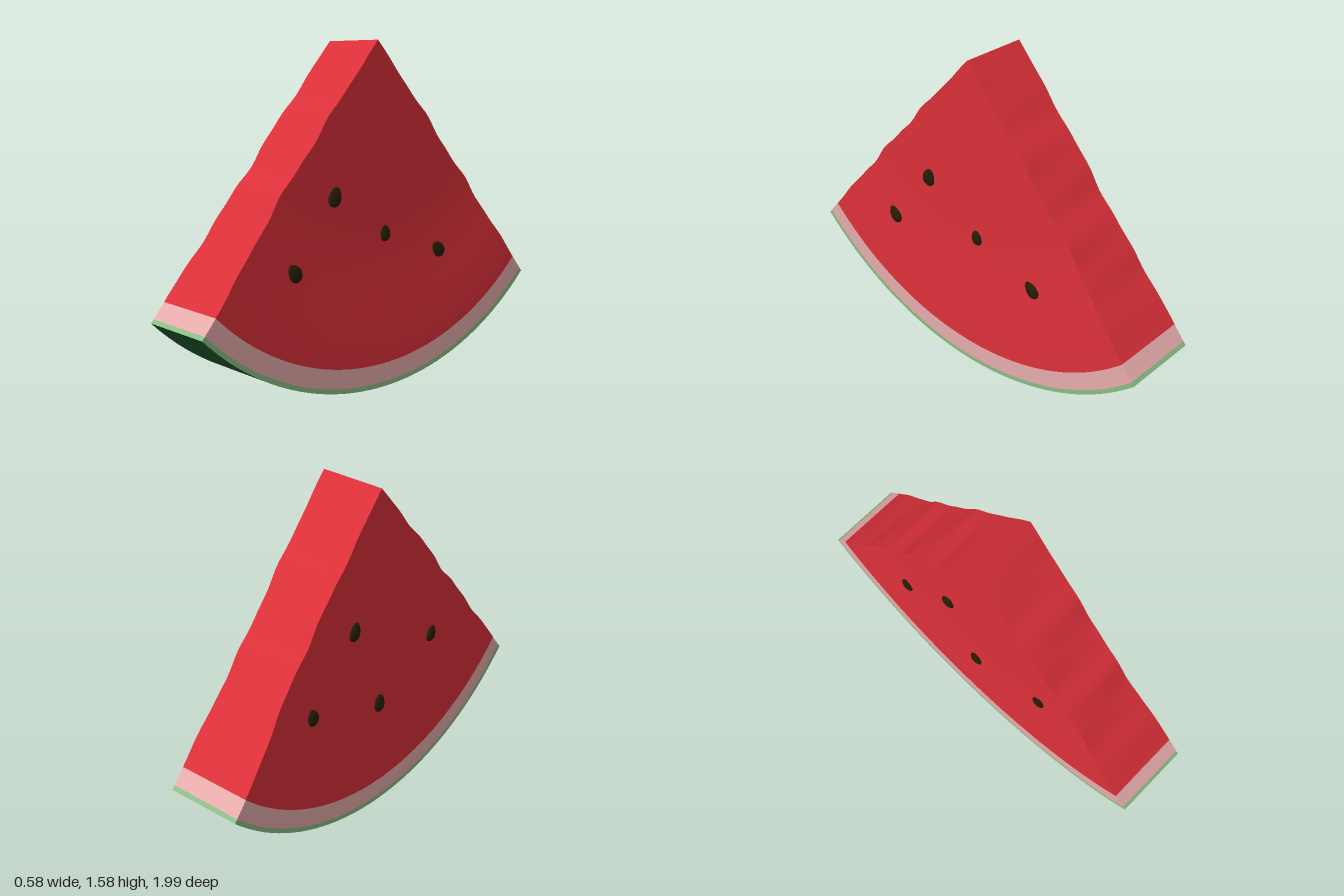
import * as THREE from 'three';
import { mergeGeometries } from 'three/addons/utils/BufferGeometryUtils.js';

const TIP_Y = 1.575, ARC_R = 1.397, ARC_HALF = Math.asin(0.983 / ARC_R);

// Half thickness of the slice: thinner in the flesh, full at the rind
const halfWidth = (s) => 0.161 + 0.026 * THREE.MathUtils.smoothstep(s, 0.55, 0.95);

// Uneven bite of the cut faces, fading out at the tip and the rind
function ripple(s, side, x) {
  const fade = Math.sin(Math.PI * Math.min(s / 0.95, 1));
  const phase = side > 0 ? 1.1 : 0.2;
  return fade * (0.012 + 0.006 * Math.sin(23 * s + phase + 5 * x) + 0.003 * Math.sin(47 * s - 3 * x + phase));
}

// s: 0 at the tip to 1 at the skin, t: 0 back to 1 front, u: -1 to 1 across
function point(s, t, u) {
  const x = u * halfWidth(s);
  const a = (2 * t - 1) * ARC_HALF;
  const side = Math.sign(2 * t - 1);
  const off = ripple(s, side, x) * Math.abs(2 * t - 1) ** 8;
  const tip = TIP_Y + 0.006 * u;
  const y = THREE.MathUtils.lerp(tip, ARC_R * (1 - Math.cos(a)), s);
  return [x, y + off * 0.64, s * ARC_R * Math.sin(a) + off * 0.77 * side];
}

// A plane whose vertices are moved onto a surface
function sheet(nu, nv, f) {
  const g = new THREE.PlaneGeometry(1, 1, nu, nv);
  const { position, uv } = g.attributes;
  for (let i = 0; i < position.count; i++) position.setXYZ(i, ...f(uv.getX(i), uv.getY(i)));
  g.computeVertexNormals();
  return g;
}

// One layer of the slice: two broad faces and two cut ends
function layer(s0, s1, n) {
  const s = (v) => THREE.MathUtils.lerp(s0, s1, v);
  return mergeGeometries([
    sheet(40, n, (u, v) => point(s(v), u, 1)),
    sheet(40, n, (u, v) => point(s(v), 1 - u, -1)),
    sheet(6, n, (u, v) => point(s(1 - v), 1, 2 * u - 1)),
    sheet(6, n, (u, v) => point(s(1 - v), 0, 1 - 2 * u)),
  ]);
}

export function createModel() {
  const colour = (name, hex) => {
    const m = new THREE.MeshStandardMaterial({ color: hex });
    m.name = name;
    return m;
  };
  const red = colour('flesh red', 0xdb3039);
  const pink = colour('pale pink', 0xecb0b0);
  const lightGreen = colour('light green', 0x8cbd85);
  const darkGreen = colour('dark green', 0x1f5a2f);
  const black = colour('seed brown', 0x241d05);

  const slice = new THREE.Group();
  slice.name = 'melonSlice';
  const add = (name, geometry, material) => {
    const mesh = new THREE.Mesh(geometry, material);
    mesh.name = name;
    slice.add(mesh);
    return mesh;
  };

  add('flesh', layer(0, 0.93, 44), red);
  add('innerRind', layer(0.93, 0.986, 2), pink);
  add('outerRind', layer(0.986, 1, 1), lightGreen);
  add('skin', sheet(6, 40, (u, v) => point(1, v, 2 * u - 1)), darkGreen);

  // Teardrop seed, narrowing towards its top
  const seedShape = new THREE.SphereGeometry(1, 14, 10);
  const p = seedShape.attributes.position;
  for (let i = 0; i < p.count; i++) {
    const taper = 1 - 0.2 * p.getY(i);
    p.setXYZ(i, p.getX(i) * 0.015 * taper, p.getY(i) * 0.046, p.getZ(i) * 0.035 * taper);
  }
  seedShape.computeVertexNormals();

  // Seeds: side, z, y, tilt, size
  const seeds = [
    [1, 0.255, 0.908, -0.25, 1], [1, 0.49, 0.605, 0.6, 0.98],
    [1, -0.047, 0.712, 0.1, 0.82], [1, -0.388, 0.595, 0.8, 0.95],
    [-1, -0.47, 0.66, -0.2, 0.92], [-1, -0.18, 0.957, 0.25, 0.98],
    [-1, -0.01, 0.52, 0, 0.98], [-1, 0.39, 0.72, 0.3, 0.9],
  ];
  for (const [side, z, y, tilt, size] of seeds) {
    const s = Math.hypot(z, TIP_Y - y) / 1.55;
    const seed = add('seed', seedShape, black);
    seed.position.set(side * (halfWidth(s) + 0.002), y, z);
    seed.rotation.x = tilt;
    seed.scale.setScalar(size);
  }

  // The slice stands slightly turned
  slice.rotation.y = 0.107;
  const model = new THREE.Group();
  model.name = 'model';
  model.add(slice);
  return model;
}
